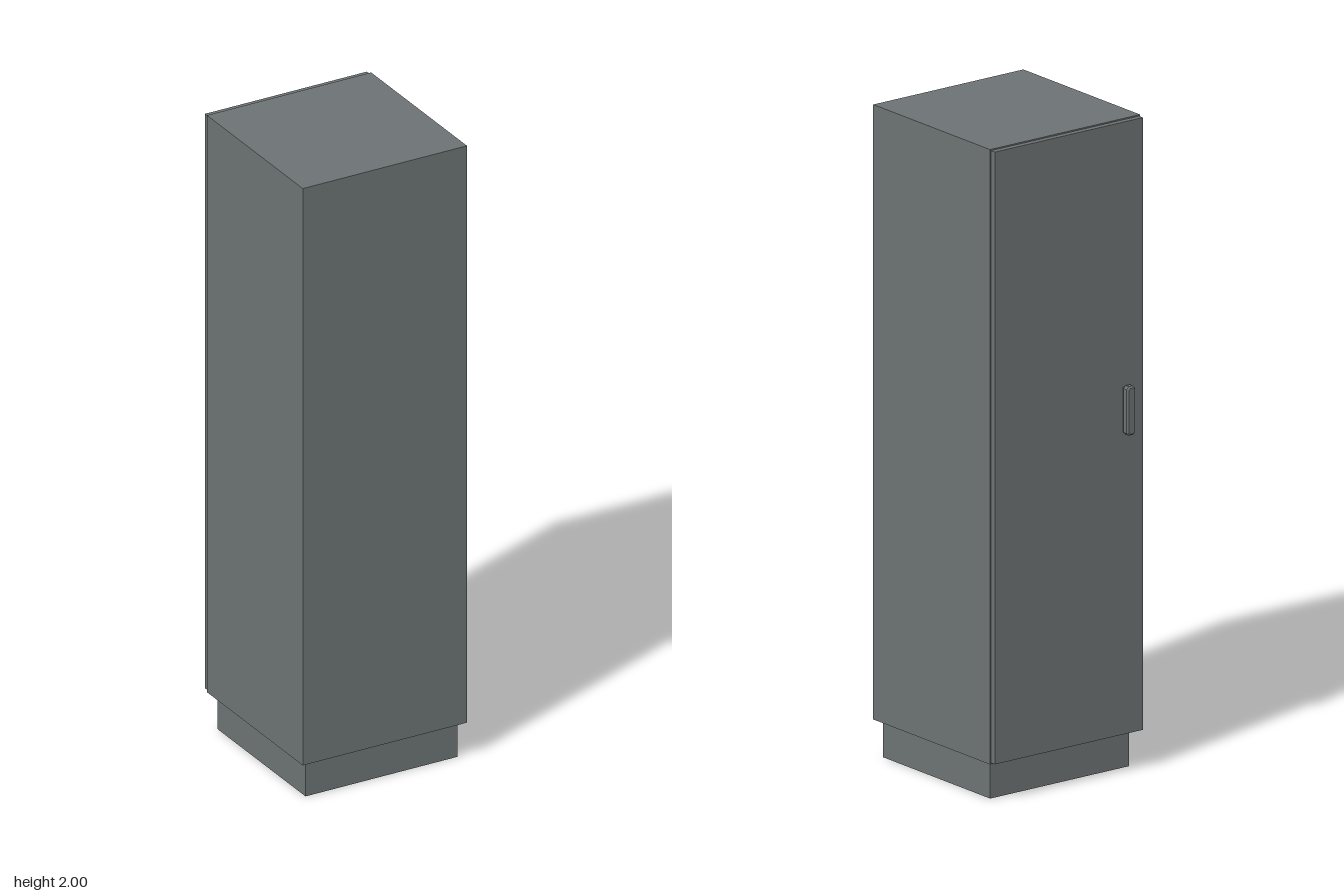
import * as THREE from 'three';

export function createModel() {
  const model = new THREE.Group();
  const grey = new THREE.MeshStandardMaterial({ color: 0x6c7273, flatShading: true });
  grey.name = 'basalt grey';

  // Box given by its minimum and maximum corners
  const box = (name, [x0, y0, z0], [x1, y1, z1], parent = model) => {
    const mesh = new THREE.Mesh(new THREE.BoxGeometry(x1 - x0, y1 - y0, z1 - z0), grey);
    mesh.position.set((x0 + x1) / 2, (y0 + y1) / 2, (z0 + z1) / 2);
    mesh.name = name;
    parent.add(mesh);
  };

  box('plinth', [-0.257, 0, -0.23], [0.257, 0.115, 0.28]);
  box('cabinetBody', [-0.278, 0.115, -0.256], [0.278, 2, 0.3]);
  box('door', [-0.274, 0.119, -0.274], [0.274, 1.996, -0.256]);

  // Door handle: chamfered grip on a narrow backing plate
  const handle = new THREE.Group();
  handle.name = 'handle';
  model.add(handle);
  box('handleBase', [-0.224, 1.046, -0.28], [-0.2, 1.184, -0.273], handle);

  const bevel = 0.005, w = 0.016 - bevel, h = 0.075 - bevel, c = 0.005;
  const outline = new THREE.Shape([
    [w, -h + c], [w, h - c], [w - c, h], [-w + c, h],
    [-w, h - c], [-w, -h + c], [-w + c, -h], [w - c, -h],
  ].map(([x, y]) => new THREE.Vector2(x, y)));
  const grip = new THREE.Mesh(new THREE.ExtrudeGeometry(outline, {
    depth: 0.015, bevelEnabled: true, bevelSize: bevel, bevelThickness: bevel, bevelSegments: 1,
  }), grey);
  grip.position.set(-0.212, 1.115, -0.297);
  grip.name = 'handleGrip';
  handle.add(grip);

  return model;
}
